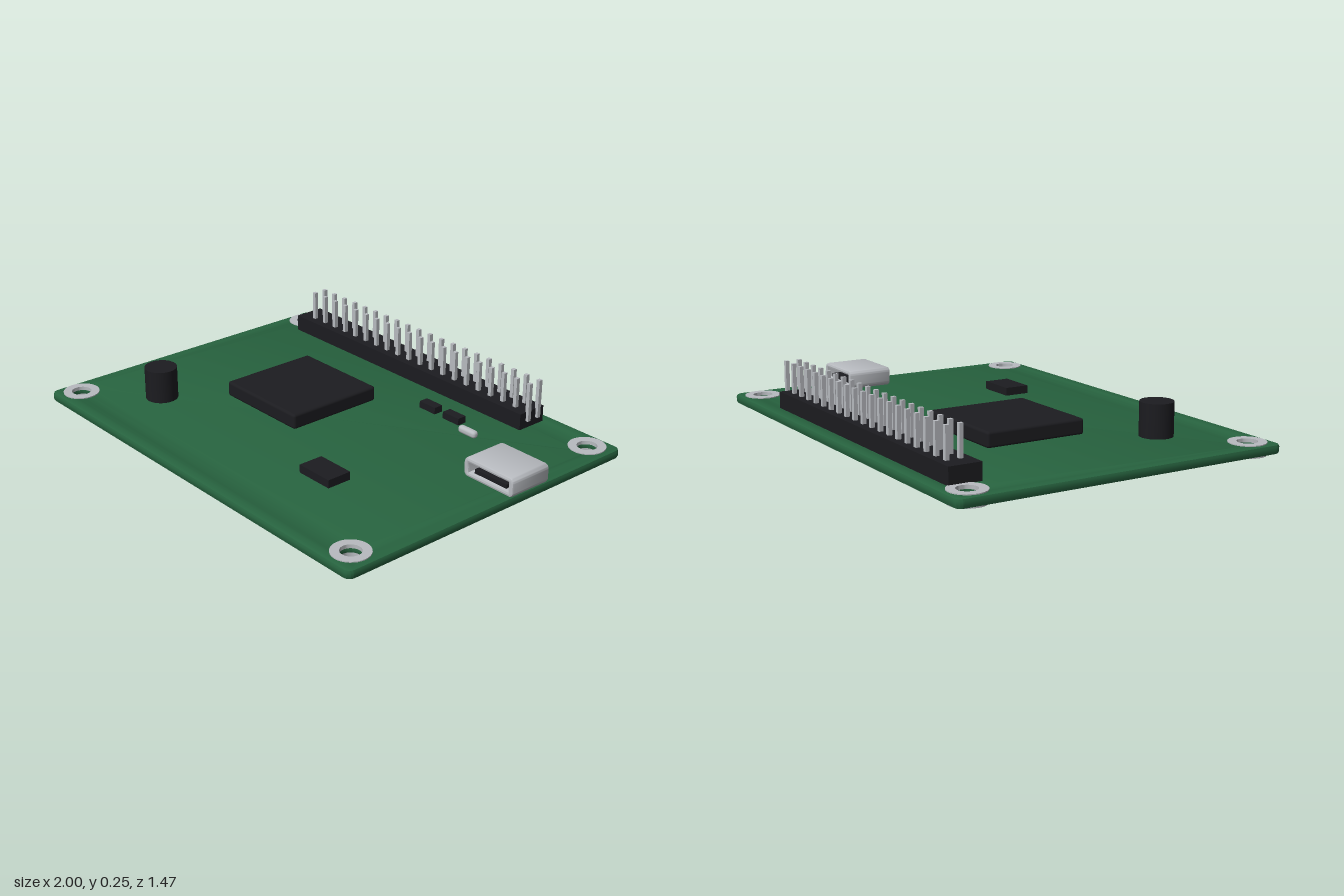
import * as THREE from 'three';
import { RoundedBoxGeometry } from 'three/addons/geometries/RoundedBoxGeometry.js';
import { toCreasedNormals } from 'three/addons/utils/BufferGeometryUtils.js';

const mat = (color) => new THREE.MeshStandardMaterial({ color });

// Rounded rectangle outline centred on the origin
function roundedRect(w, h, r) {
  const s = new THREE.Shape();
  const x = w / 2, y = h / 2;
  s.moveTo(-x + r, -y);
  s.lineTo(x - r, -y);
  s.absarc(x - r, -y + r, r, -Math.PI / 2, 0);
  s.absarc(x - r, y - r, r, 0, Math.PI / 2);
  s.absarc(-x + r, y - r, r, Math.PI / 2, Math.PI);
  s.absarc(-x + r, -y + r, r, Math.PI, Math.PI * 1.5);
  return s;
}

export function createModel() {
  const model = new THREE.Group();
  model.name = 'circuitBoard';
  const green = mat(0x27633f), black = mat(0x1c1c20), silver = mat(0xb8bbc0);

  function add(name, geometry, material, x, y, z) {
    const mesh = new THREE.Mesh(geometry, material);
    mesh.name = name;
    mesh.position.set(x, y, z);
    model.add(mesh);
    return mesh;
  }
  // Box given by its limits on each axis; bevel rounds its edges
  function block(name, material, [x0, x1], [y0, y1], [z0, z1], bevel = 0) {
    const size = [x1 - x0, y1 - y0, z1 - z0];
    const geometry = bevel ? new RoundedBoxGeometry(...size, 2, bevel) : new THREE.BoxGeometry(...size);
    return add(name, geometry, material, (x0 + x1) / 2, (y0 + y1) / 2, (z0 + z1) / 2);
  }

  // Board with four drilled corners and a bevelled rim
  const bevel = 0.012, boardX = -0.01;
  const corners = [];
  for (const x of [-0.907, 0.878]) for (const z of [-0.64, 0.635]) corners.push([x, z]);
  const outline = roundedRect(1.98 - 2 * bevel, 1.47 - 2 * bevel, 0.02);
  for (const [x, z] of corners) {
    const hole = new THREE.Path();
    hole.absarc(x - boardX, -z, 0.042 + bevel, 0, Math.PI * 2, true);
    outline.holes.push(hole);
  }
  const board = new THREE.ExtrudeGeometry(outline, {
    depth: 0.041 - 2 * bevel, bevelThickness: bevel, bevelSize: bevel, bevelSegments: 2, curveSegments: 16,
  });
  board.rotateX(-Math.PI / 2);
  add('board', toCreasedNormals(board, 0.6), green, boardX, 0.007 + bevel, 0);

  // Metal rings lining the mounting holes
  const ringProfile = [[0.042, 0], [0.078, 0], [0.078, 0.052], [0.042, 0.052], [0.042, 0]]
    .map(([r, y]) => new THREE.Vector2(r, y));
  const ring = toCreasedNormals(new THREE.LatheGeometry(ringProfile, 32), 0.6);
  for (const [x, z] of corners) add('mountingRing', ring, silver, x, 0, z);

  // Pin header: a long base with two rows of twenty pins
  block('pinHeaderBase', black, [-0.845, 0.6], [0.045, 0.12], [-0.68, -0.54]);
  const pin = new THREE.BoxGeometry(0.017, 0.17, 0.017);
  for (let i = 0; i < 20; i++) {
    for (const z of [-0.641, -0.583]) add('headerPin', pin, silver, -0.764 + i * 0.072, 0.165, z);
  }

  // Chips and small components
  block('mainChip', black, [-0.465, -0.01], [0.045, 0.113], [-0.285, 0.167], 0.012);
  block('smallChip', black, [0.297, 0.47], [0.045, 0.083], [0.28, 0.391]);
  for (const x of [0.17, 0.31]) block('resistor', black, [x, x + 0.092], [0.045, 0.078], [-0.422, -0.379]);
  block('metalComponent', silver, [0.449, 0.545], [0.051, 0.084], [-0.357, -0.325], 0.014);
  add('capacitor', new THREE.CylinderGeometry(0.07, 0.07, 0.145, 32), black, -0.636, 0.1175, 0.396);

  // Connector: an open metal sleeve running front to back, with a tongue inside
  const b = 0.01;
  const sleeve = roundedRect(0.26 - 2 * b, 0.083 - 2 * b, 0.012);
  sleeve.holes.push(new THREE.Path(roundedRect(0.208 + 2 * b, 0.04 + 2 * b, 0.008).getPoints(4).reverse()));
  const shell = new THREE.ExtrudeGeometry(sleeve, {
    depth: 0.205 - 2 * b, bevelThickness: b, bevelSize: b, bevelSegments: 2, curveSegments: 4,
  });
  add('connectorShell', toCreasedNormals(shell, 0.6), silver, 0.868, 0.0975, -0.275 + b);
  block('connectorTongue', black, [0.785, 0.952], [0.072, 0.095], [-0.26, -0.085]);

  return model;
}
